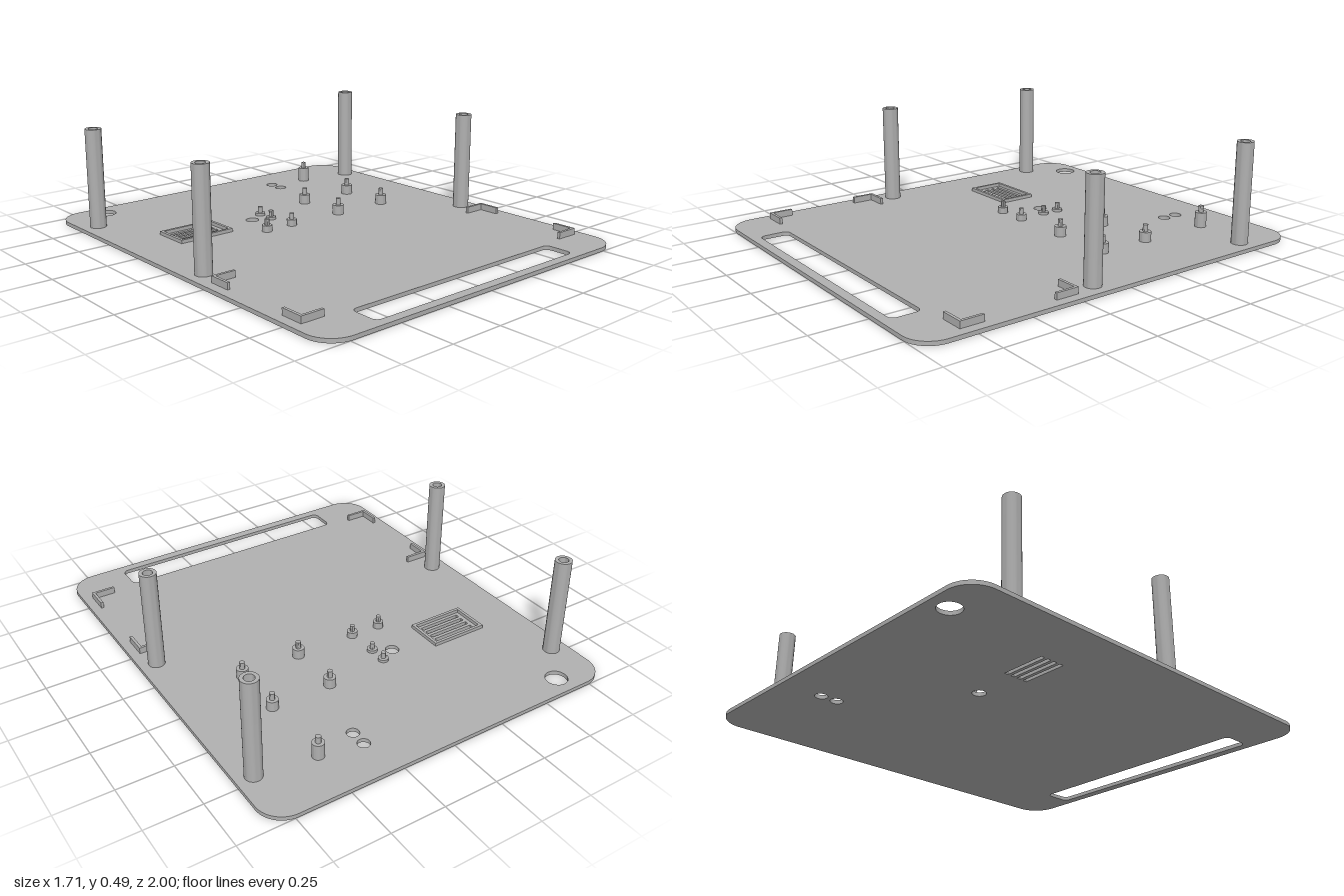
import * as THREE from 'three';
import { toCreasedNormals } from 'three/addons/utils/BufferGeometryUtils.js';

const T = 0.018; // plate thickness
const grey = new THREE.MeshStandardMaterial({ color: 0xb0b0b0 });
grey.name = 'grey plastic';

// Rounded rectangle centred on (x, z); shape y is used as model z
function roundRect(p, x, z, w, d, r) {
  const x0 = x - w / 2, x1 = x + w / 2, z0 = z - d / 2, z1 = z + d / 2;
  if (r === 0) {
    p.moveTo(x0, z0).lineTo(x1, z0).lineTo(x1, z1).lineTo(x0, z1).closePath();
    return p;
  }
  p.moveTo(x0 + r, z0);
  p.lineTo(x1 - r, z0);
  p.absarc(x1 - r, z0 + r, r, -Math.PI / 2, 0, false);
  p.lineTo(x1, z1 - r);
  p.absarc(x1 - r, z1 - r, r, 0, Math.PI / 2, false);
  p.lineTo(x0 + r, z1);
  p.absarc(x0 + r, z1 - r, r, Math.PI / 2, Math.PI, false);
  p.lineTo(x0, z0 + r);
  p.absarc(x0 + r, z0 + r, r, Math.PI, Math.PI * 1.5, false);
  return p;
}

// Extrude a floor-plan shape from y0 up to y1
function slab(shape, y0, y1) {
  const g = new THREE.ExtrudeGeometry(shape, { depth: y1 - y0, bevelEnabled: false, curveSegments: 16 });
  g.rotateX(Math.PI / 2).translate(0, y1, 0);
  return toCreasedNormals(g, 0.6);
}

// Turned part from [radius, height] pairs
function turned(profile) {
  const g = new THREE.LatheGeometry(profile.map(([r, y]) => new THREE.Vector2(r, y)), 32);
  return toCreasedNormals(g, 0.6);
}

export function createModel() {
  const model = new THREE.Group();
  model.name = 'enclosureBase';
  const add = (name, geometry, x = 0, z = 0) => {
    const mesh = new THREE.Mesh(geometry, grey);
    mesh.name = name;
    mesh.position.set(x, 0, z);
    model.add(mesh);
  };

  // Base plate with its cut-outs
  const plate = roundRect(new THREE.Shape(), 0, 0, 1.71, 2, 0.12);
  plate.holes.push(roundRect(new THREE.Path(), 0, 0.887, 1.168, 0.138, 0.028));
  for (const [x, z, r] of [[-0.642, -0.907, 0.05], [0.312, -0.807, 0.028], [0.312, -0.73, 0.028], [-0.167, -0.345, 0.031]]) {
    plate.holes.push(new THREE.Path().absarc(x, z, r, 0, Math.PI * 2, true));
  }
  for (let i = 0; i < 4; i++) {
    plate.holes.push(roundRect(new THREE.Path(), -0.488, -0.393 + i * 0.034, 0.21, 0.018, 0));
  }
  add('basePlate', slab(plate, 0, T));

  // Raised frame around the vent slots
  const frame = roundRect(new THREE.Shape(), -0.487, -0.343, 0.278, 0.18, 0);
  frame.holes.push(roundRect(new THREE.Path(), -0.487, -0.343, 0.25, 0.152, 0));
  add('ventFrame', slab(frame, T, 0.034));

  // Tall hollow corner posts
  const post = turned([[0.038, T], [0.038, 0.486], [0.022, 0.486], [0.022, T]]);
  for (const x of [-0.776, 0.776]) for (const z of [-0.733, 0.14]) add('cornerPost', post, x, z);

  // Stepped standoffs: x, z, radius, shoulder height, pin radius, pin height
  const standoffs = [
    [0.506, -0.772, 0.027, 0.089, 0.012, 0.119],
    [0.217, -0.414, 0.027, 0.064, 0.012, 0.096],
    [0.504, -0.414, 0.027, 0.064, 0.012, 0.096],
    [0.217, -0.157, 0.027, 0.064, 0.012, 0.096],
    [0.504, -0.157, 0.027, 0.064, 0.012, 0.096],
    [-0.222, -0.157, 0.024, 0.048, 0.011, 0.076],
    [-0.075, -0.157, 0.024, 0.048, 0.011, 0.076],
    [-0.086, -0.388, 0.024, 0.031, 0.011, 0.06],
    [-0.086, -0.302, 0.024, 0.031, 0.011, 0.06],
  ];
  for (const [x, z, r, shoulder, pin, top] of standoffs) {
    add('standoff', turned([[r, T], [r, shoulder], [pin, shoulder], [pin, top], [0, top]]), x, z);
  }

  // L-shaped locating brackets, arms pointing inwards
  const arm = 0.11, t = 0.013;
  for (const sx of [-1, 1]) {
    for (const [z, sz] of [[0.243, 1], [0.803, -1]]) {
      const x = sx * 0.81;
      const pts = [[0, 0], [arm, 0], [arm, t], [t, t], [t, arm], [0, arm]];
      const ell = new THREE.Shape(pts.map(([a, b]) => new THREE.Vector2(-sx * a, sz * b)));
      add('cornerBracket', slab(ell, T, 0.048), x, z);
    }
  }
  return model;
}
